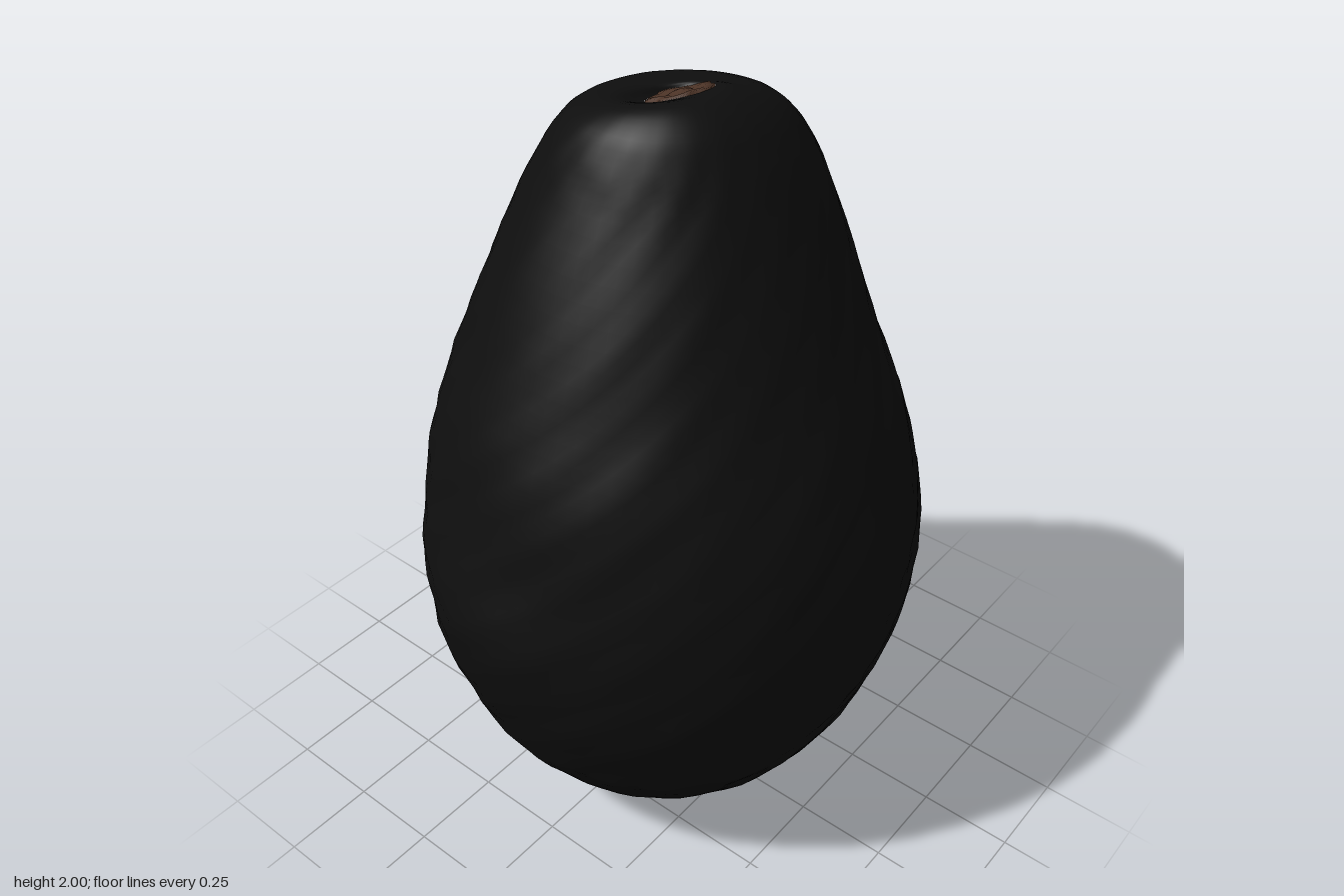
import * as THREE from 'three';

// Cross-sections from bottom to top: y, xMin, xMax, zMin, zMax, slope along x, slope along z
const SECTIONS = [
  [0.005, 0.09, 0.11, -0.01, 0.01, 0, 0],
  [0.015, -0.02, 0.21, -0.17, 0.14, 0, 0],
  [0.05, -0.18, 0.30, -0.27, 0.25, 0, 0],
  [0.11, -0.34, 0.36, -0.38, 0.35, 0, 0],
  [0.2, -0.455, 0.44, -0.47, 0.45, 0, 0],
  [0.3, -0.525, 0.53, -0.545, 0.52, 0, 0],
  [0.4, -0.57, 0.59, -0.59, 0.57, 0, 0],
  [0.6, -0.63, 0.64, -0.64, 0.635, 0, 0],
  [0.8, -0.635, 0.66, -0.653, 0.657, 0, 0],
  [1.0, -0.6, 0.64, -0.635, 0.64, 0, 0],
  [1.2, -0.545, 0.6, -0.59, 0.575, 0, 0],
  [1.4, -0.46, 0.535, -0.515, 0.485, 0, 0],
  [1.6, -0.37, 0.475, -0.44, 0.4, 0, 0],
  [1.8, -0.27, 0.405, -0.35, 0.31, 0, 0],
  [1.9, -0.22, 0.335, -0.275, 0.25, 0, 0],
  [1.95, -0.175, 0.265, -0.205, 0.195, -0.05, 0.06],
  [1.975, -0.1, 0.19, -0.14, 0.12, -0.13, 0.2],
  [1.963, 0.005, 0.165, -0.11, 0.05, -0.06, 0.36],
];
const SEGMENTS = 72, ROWS = 84;

// Joins equal rings of points into one smooth surface
function skinRings(positions, rings, segments) {
  const index = [];
  for (let r = 0; r < rings - 1; r++) {
    for (let s = 0; s < segments; s++) {
      const a = r * segments + s, b = r * segments + (s + 1) % segments;
      index.push(a, a + segments, b, b, a + segments, b + segments);
    }
  }
  const geometry = new THREE.BufferGeometry();
  geometry.setAttribute('position', new THREE.Float32BufferAttribute(positions, 3));
  geometry.setIndex(index);
  geometry.computeVertexNormals();
  return geometry;
}

// Uneven pebbled skin, periodic around the fruit
const pebble = (a, y) =>
  0.004 * Math.sin(5 * a + 7 * y) * Math.sin(11 * y + 2 * a) +
  0.004 * Math.sin(13 * a - 23 * y) * Math.sin(37 * y + 3 * a) +
  0.003 * Math.sin(21 * a + 41 * y);

function bodyGeometry() {
  const curve = (i, j) => new THREE.CatmullRomCurve3(
    SECTIONS.map(s => new THREE.Vector3(s[i], s[0], s[j])), false, 'catmullrom', 0.5);
  const spanX = curve(1, 2), spanZ = curve(3, 4), slope = curve(5, 6);
  const positions = [];
  for (let r = 0; r <= ROWS; r++) {
    const t = r / ROWS;
    const px = spanX.getPoint(t), pz = spanZ.getPoint(t), tilt = slope.getPoint(t);
    const rx = (px.z - px.x) / 2, rz = (pz.z - pz.x) / 2;
    const cx = (px.z + px.x) / 2, cz = (pz.z + pz.x) / 2;
    const fade = Math.min(1, t * 5, (1 - t) * 5);
    for (let s = 0; s < SEGMENTS; s++) {
      const a = s / SEGMENTS * Math.PI * 2;
      // Lump on the right flank
      const d = (a - Math.PI - 0.08) / 0.3, h = (px.y - 0.81) / 0.13;
      const k = 1 + fade * (pebble(a, px.y) + 0.045 * Math.exp(-d * d - h * h));
      const x = rx * k * Math.cos(a), z = rz * k * Math.sin(a);
      positions.push(cx + x, px.y + tilt.x * (cx + x) + tilt.z * (cz + z), cz + z);
    }
  }
  // Close the bottom with a ring collapsed to a point
  const base = [];
  for (let s = 0; s < SEGMENTS; s++) base.push(0.1, 0, 0);
  return skinRings(base.concat(positions), ROWS + 2, SEGMENTS);
}

// Ragged, slightly domed scar where the stalk broke off
function scarGeometry() {
  const segments = 36, positions = [];
  const rings = [[1.04, -0.012], [1, 0.004], [0.75, 0.006], [0.4, 0.002], [0.2, 0.008], [0, 0.01]];
  for (const [k, lift] of rings) {
    for (let s = 0; s < segments; s++) {
      const a = s / segments * Math.PI * 2;
      const ragged = 1 + 0.05 * Math.sin(5 * a + 1) + 0.04 * Math.sin(9 * a) + 0.03 * Math.sin(14 * a + 2);
      const x = 0.085 + 0.08 * k * ragged * Math.cos(a);
      const z = -0.03 + 0.073 * k * ragged * Math.sin(a);
      positions.push(x, 1.963 - 0.06 * x + 0.36 * z + lift + 0.002 * Math.sin(4 * a) * k, z);
    }
  }
  return skinRings(positions, rings.length, segments);
}

export function createModel() {
  const group = new THREE.Group();
  group.name = 'avocado';

  const skin = new THREE.MeshStandardMaterial({ color: 0x0e0e0e });
  skin.name = 'black skin';
  const bark = new THREE.MeshStandardMaterial({ color: 0x4d3427 });
  bark.name = 'brown stem';

  const body = new THREE.Mesh(bodyGeometry(), skin);
  body.name = 'fruitBody';
  const scar = new THREE.Mesh(scarGeometry(), bark);
  scar.name = 'stemScar';
  group.add(body, scar);
  return group;
}
